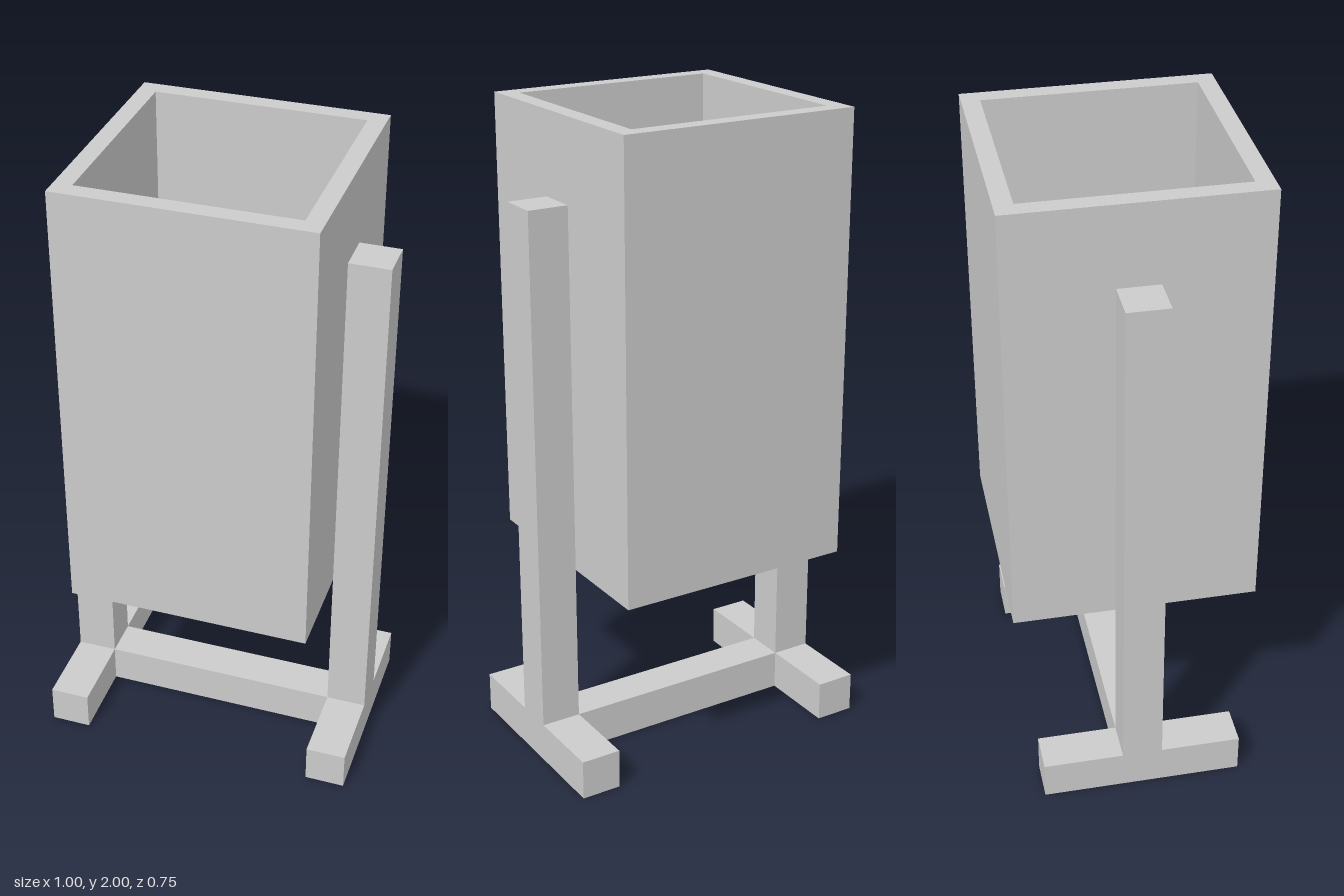
import * as THREE from 'three';

const material = new THREE.MeshStandardMaterial({ color: 0xcccccc, flatShading: true });

// Trace a centred square on a shape or path
function square(path, half) {
  path.moveTo(-half, -half);
  path.lineTo(half, -half);
  path.lineTo(half, half);
  path.lineTo(-half, half);
  path.closePath();
  return path;
}

// Box standing on height y
function addBox(parent, name, [w, h, d], x, y) {
  const mesh = new THREE.Mesh(new THREE.BoxGeometry(w, h, d), material);
  mesh.name = name;
  mesh.position.set(x, y + h / 2, 0);
  parent.add(mesh);
}

export function createModel() {
  const model = new THREE.Group();
  model.name = 'binOnStand';

  const beam = 0.125; // square section of the stand's beams
  const half = 0.375; // half width of the bin
  const inner = 0.32; // half width of the opening
  const bottom = 0.625;
  const top = 2;

  // Open-topped bin: four walls around a floor plate
  const bin = new THREE.Group();
  bin.name = 'bin';
  const outline = square(new THREE.Shape(), half);
  outline.holes.push(square(new THREE.Path(), inner));
  const wallGeometry = new THREE.ExtrudeGeometry(outline, { depth: top - bottom, bevelEnabled: false });
  wallGeometry.rotateX(-Math.PI / 2);
  const walls = new THREE.Mesh(wallGeometry, material);
  walls.name = 'binWalls';
  walls.position.y = bottom;
  bin.add(walls);
  addBox(bin, 'binFloor', [inner * 2, half - inner, inner * 2], 0, bottom);
  model.add(bin);

  // Stand: a foot and a post on each side, joined by a crossbar
  const stand = new THREE.Group();
  stand.name = 'stand';
  for (const [side, s] of [['left', 1], ['right', -1]]) {
    const x = s * (half + beam / 2);
    addBox(stand, side + 'Foot', [beam, beam, 0.625], x, 0);
    addBox(stand, side + 'Post', [beam, 1.75 - beam, beam], x, beam);
  }
  addBox(stand, 'crossbar', [half * 2, beam, beam], 0, 0);
  model.add(stand);

  return model;
}
